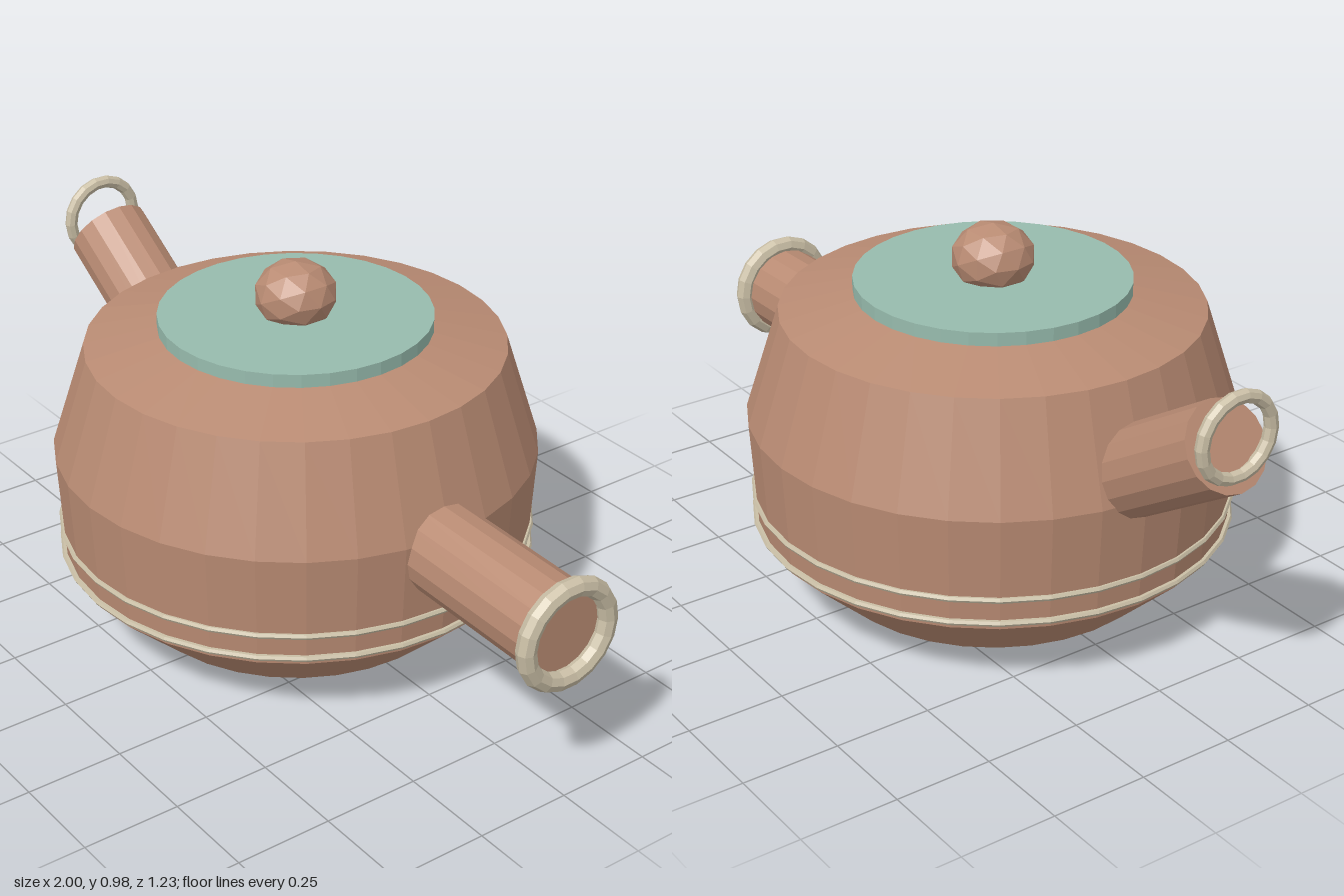
import * as THREE from 'three';

const material = (color) => new THREE.MeshStandardMaterial({ color, flatShading: true });

export function createModel() {
  const group = new THREE.Group();
  const clay = material(0xb98b73);
  const glaze = material(0x97bbad);
  const trim = material(0xcabfa6);
  const cx = -0.06; // axis of the pot

  const add = (name, geometry, mat, x, y, z = 0) => {
    const mesh = new THREE.Mesh(geometry, mat);
    mesh.name = name;
    mesh.position.set(x, y, z);
    group.add(mesh);
    return mesh;
  };

  // Straight round bar between two points in the z = 0 plane
  const bar = (name, radius, sides, x1, y1, x2, y2) => {
    const a = new THREE.Vector3(x1, y1, 0);
    const dir = new THREE.Vector3(x2, y2, 0).sub(a);
    const mesh = add(name, new THREE.CylinderGeometry(radius, radius, dir.length(), sides), clay,
      (x1 + x2) / 2, (y1 + y2) / 2);
    mesh.quaternion.setFromUnitVectors(new THREE.Vector3(0, 1, 0), dir.normalize());
  };

  // Pot body, turned from a faceted profile
  const profile = [[0, 0], [0.2, 0], [0.43, 0.035], [0.6, 0.195], [0.617, 0.49],
    [0.53, 0.762], [0.345, 0.806], [0, 0.806]].map(([r, y]) => new THREE.Vector2(r, y));
  add('body', new THREE.LatheGeometry(profile, 32), clay, cx, 0);

  // Lid and knob
  add('lid', new THREE.CylinderGeometry(0.345, 0.345, 0.05, 32), glaze, cx, 0.815);
  add('knob', new THREE.IcosahedronGeometry(0.105, 1), clay, cx, 0.888).scale.y = 0.83;

  // Thin bands around the lower body
  for (const [name, y] of [['lowerBand', 0.214], ['upperBand', 0.277]]) {
    add(name, new THREE.TorusGeometry(0.606, 0.008, 6, 32), trim, cx, y).rotation.x = Math.PI / 2;
  }

  // Side handle with its end ring
  bar('handle', 0.115, 16, 0.45, 0.448, 0.965, 0.437);
  add('handleRing', new THREE.TorusGeometry(0.122, 0.025, 8, 18), trim, 0.975, 0.439).rotation.y = Math.PI / 2;

  // Raised spout with the ring at its mouth
  bar('spout', 0.11, 16, -0.48, 0.448, -0.94, 0.742);
  add('spoutRing', new THREE.TorusGeometry(0.099, 0.017, 8, 18), trim, -0.973, 0.776).rotation.y = Math.PI / 2;

  return group;
}
